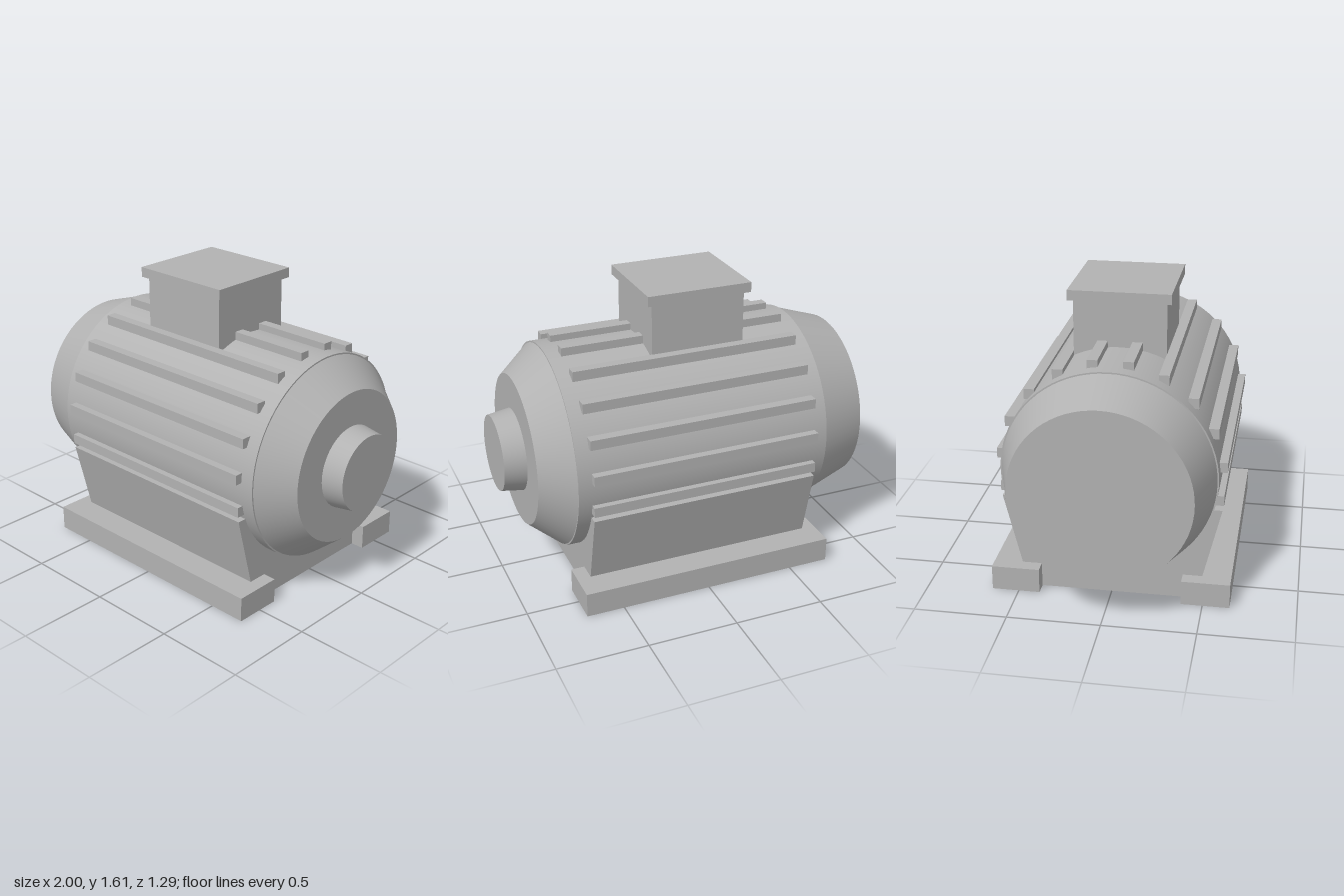
import * as THREE from 'three';

const AXIS_Y = 0.727; // height of the shaft axis

export function createModel() {
  const model = new THREE.Group();
  model.name = 'electricMotor';
  const grey = new THREE.MeshStandardMaterial({ color: 0xb2b2b2 });
  grey.name = 'machineGrey';

  const add = (name, geometry) => {
    const mesh = new THREE.Mesh(geometry, grey);
    mesh.name = name;
    model.add(mesh);
    return mesh;
  };

  // Box given by its limits on each axis
  const box = (name, x0, x1, y0, y1, z0, z1) =>
    add(name, new THREE.BoxGeometry(x1 - x0, y1 - y0, z1 - z0))
      .position.set((x0 + x1) / 2, (y0 + y1) / 2, (z0 + z1) / 2);

  // Round section along x, radius r0 at x0 and r1 at x1
  const round = (name, x0, r0, x1, r1) => {
    const mesh = add(name, new THREE.CylinderGeometry(r1, r0, x1 - x0, 72));
    mesh.rotation.z = -Math.PI / 2;
    mesh.position.set((x0 + x1) / 2, AXIS_Y, 0);
  };

  // Housing, end bells and shaft hub
  round('fanCowl', -1, 0.475, -0.73, 0.562);
  round('housing', -0.73, 0.57, 0.71, 0.57);
  round('driveEndBell', 0.71, 0.562, 0.88, 0.42);
  round('shaftHub', 0.88, 0.228, 1, 0.21);

  // Cooling fins, upright square bars set around the housing
  const finSize = 0.055, finRadius = 0.582;
  for (const side of [1, -1]) {
    for (let i = 0; i < 6; i++) {
      const a = THREE.MathUtils.degToRad(9.2 + i * 18.85);
      const y = AXIS_Y + Math.cos(a) * finRadius;
      const z = side * Math.sin(a) * finRadius;
      box('coolingFin', -0.655, 0.635, y - finSize / 2, y + finSize / 2, z - finSize / 2, z + finSize / 2);
    }
  }

  // Flared pedestal under the housing
  const profile = new THREE.Shape([
    [-0.49, 0], [0.49, 0], [0.49, 0.135], [0.587, 0.535], [-0.587, 0.535], [-0.49, 0.135],
  ].map(([z, y]) => new THREE.Vector2(z, y)));
  const pedestal = add('pedestal', new THREE.ExtrudeGeometry(profile, { depth: 1.29, bevelEnabled: false }));
  pedestal.rotation.y = Math.PI / 2;
  pedestal.position.x = -0.655;

  // Foot rails
  box('footRail', -0.73, 0.71, 0, 0.137, 0.385, 0.645);
  box('footRail', -0.73, 0.71, 0, 0.137, -0.645, -0.385);

  // Terminal box and lid
  box('terminalBox', -0.355, 0.175, 1.15, 1.55, -0.248, 0.248);
  box('terminalLid', -0.385, 0.205, 1.55, 1.605, -0.274, 0.274);

  return model;
}
